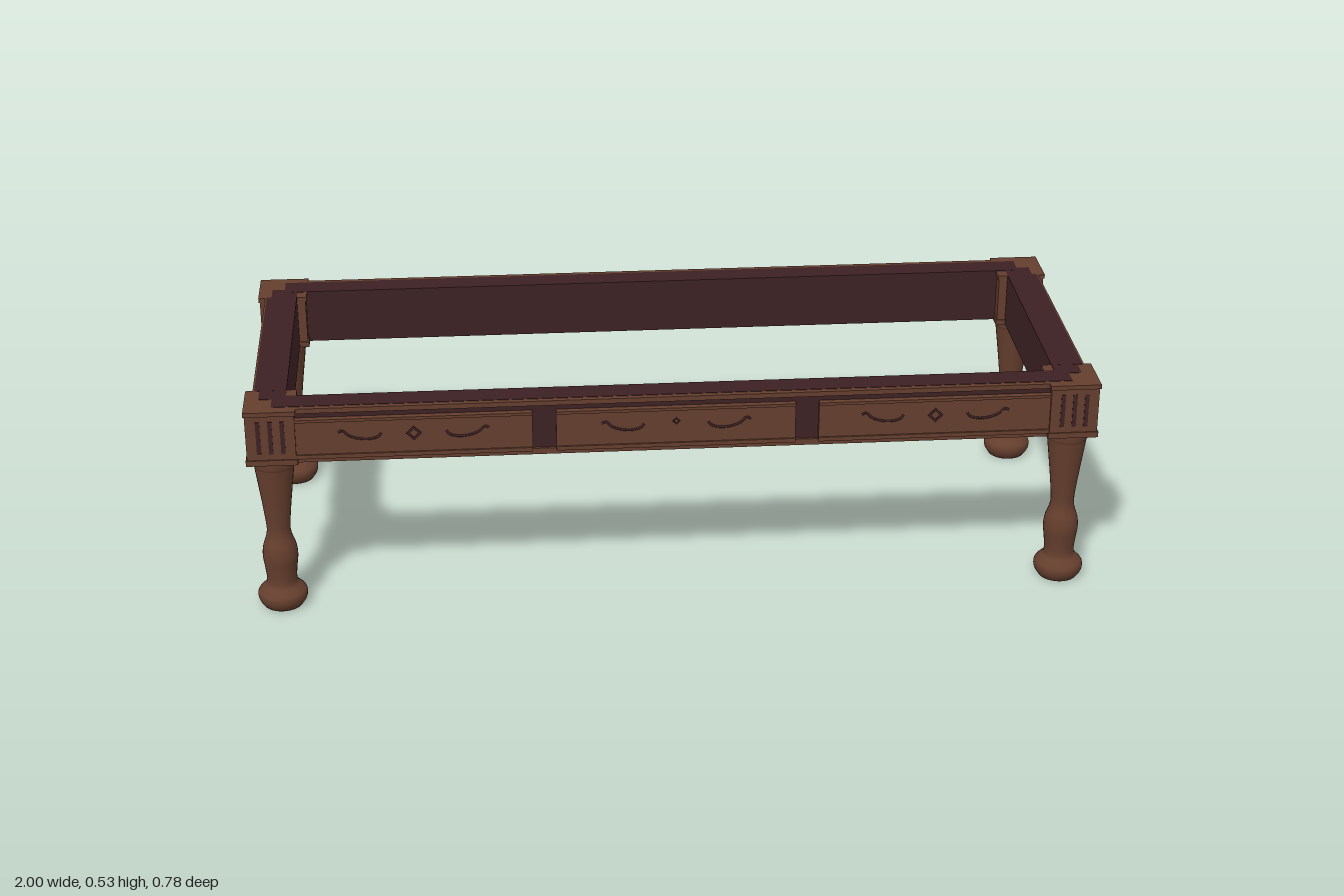
import * as THREE from 'three';

export function createModel() {
  const root = new THREE.Group();
  const brown = new THREE.MeshStandardMaterial({ color: 0x643e2d });
  brown.name = 'walnut brown';
  const dark = new THREE.MeshStandardMaterial({ color: 0x3d2124 });
  dark.name = 'dark mahogany';

  const add = (parent, name, geometry, material) => {
    const mesh = new THREE.Mesh(geometry, material);
    mesh.name = name;
    parent.add(mesh);
    return mesh;
  };
  // Box given by its limits on each axis
  const box = (parent, name, material, x0, x1, y0, y1, z0, z1) => {
    const mesh = add(parent, name, new THREE.BoxGeometry(x1 - x0, y1 - y0, z1 - z0), material);
    mesh.position.set((x0 + x1) / 2, (y0 + y1) / 2, (z0 + z1) / 2);
    return mesh;
  };

  // Turned leg profile: radius, height
  const profile = new THREE.SplineCurve([
    [0.048, 0.002], [0.056, 0.014], [0.059, 0.026], [0.057, 0.037], [0.046, 0.049],
    [0.038, 0.058], [0.036, 0.075], [0.039, 0.105], [0.042, 0.132], [0.039, 0.158],
    [0.031, 0.182], [0.028, 0.205], [0.032, 0.25], [0.038, 0.3], [0.045, 0.355], [0.047, 0.372],
  ].map(([r, y]) => new THREE.Vector2(r, y))).getPoints(48);
  const legGeometry = new THREE.LatheGeometry([
    new THREE.Vector2(0, 0), new THREE.Vector2(0.047, 0), ...profile,
    new THREE.Vector2(0.051, 0.378), new THREE.Vector2(0.051, 0.4),
  ], 32);

  // Legs with square corner blocks
  for (const sx of [-1, 1]) for (const sz of [-1, 1]) {
    const corner = new THREE.Group();
    corner.name = 'cornerPost';
    corner.position.set(sx * 0.94, 0, sz * 0.33);
    root.add(corner);
    add(corner, 'leg', legGeometry, brown);
    box(corner, 'cornerBlock', brown, -0.057, 0.057, 0.4, 0.525, -0.057, 0.057);
    box(corner, 'blockCap', brown, -0.06, 0.06, 0.522, 0.533, -0.06, 0.06);
    box(corner, 'blockBase', brown, -0.06, 0.06, 0.396, 0.41, -0.06, 0.06);
    // Flutes on the long-side face
    for (const x of [-0.028, 0, 0.028]) {
      const z = sz * 0.0575;
      box(corner, 'flute', dark, x - 0.005, x + 0.005, 0.425, 0.508, z - 0.001, z + 0.001);
    }
  }

  // Diamond ornament
  const diamond = new THREE.Shape();
  [[0, 0.018], [-0.018, 0], [0, -0.018], [0.018, 0]].forEach(([x, y], i) =>
    i ? diamond.lineTo(x, y) : diamond.moveTo(x, y));
  const hole = new THREE.Path();
  [[0, 0.011], [0.011, 0], [0, -0.011], [-0.011, 0]].forEach(([x, y], i) =>
    i ? hole.lineTo(x, y) : hole.moveTo(x, y));
  diamond.holes.push(hole);
  const diamondGeometry = new THREE.ExtrudeGeometry(diamond, { depth: 0.003, bevelEnabled: false });

  // Scrolling vine ornament, mirrored to either side of each panel
  const vineGeometry = (s) => new THREE.TubeGeometry(new THREE.CatmullRomCurve3([
    [0.075, 0.004], [0.082, -0.005], [0.1, -0.011], [0.125, -0.01],
    [0.15, -0.001], [0.165, 0.012], [0.174, 0.008],
  ].map(([x, y]) => new THREE.Vector3(s * x, y, 0))), 24, 0.003, 6);

  // Long sides, built facing +z and turned for the back
  for (const turn of [0, Math.PI]) {
    const side = new THREE.Group();
    side.name = 'longSide';
    side.rotation.y = turn;
    root.add(side);
    box(side, 'longRail', dark, -0.936, 0.936, 0.398, 0.534, 0.303, 0.363);
    box(side, 'railFace', dark, -0.885, 0.885, 0.4, 0.525, 0.36, 0.37);
    box(side, 'topMoulding', brown, -0.885, 0.885, 0.521, 0.533, 0.362, 0.376);
    box(side, 'bottomMoulding', brown, -0.885, 0.885, 0.396, 0.411, 0.362, 0.376);
    for (const [x0, x1] of [[-0.885, -0.335], [-0.28, 0.28], [0.335, 0.885]]) {
      const mid = (x0 + x1) / 2;
      box(side, 'carvedPanel', brown, x0, x1, 0.411, 0.508, 0.368, 0.381);
      box(side, 'panelLowerBead', brown, x0, x1, 0.408, 0.418, 0.368, 0.385);
      box(side, 'panelUpperBead', brown, x0, x1, 0.501, 0.508, 0.368, 0.385);
      const ornament = new THREE.Group();
      ornament.name = 'panelOrnament';
      ornament.position.set(mid, 0.465, 0.381);
      side.add(ornament);
      for (const s of [-1, 1]) add(ornament, 'vine', vineGeometry(s), dark);
      const motif = add(ornament, 'diamond', diamondGeometry, dark);
      if (mid === 0) {
        motif.scale.set(0.5, 0.5, 1);
        motif.position.y = 0.008;
      }
    }
  }

  // Short sides, built facing +x and turned for the other end
  for (const turn of [0, Math.PI]) {
    const end = new THREE.Group();
    end.name = 'shortSide';
    end.rotation.y = turn;
    root.add(end);
    box(end, 'shortRail', dark, 0.904, 0.979, 0.398, 0.534, -0.274, 0.274);
    box(end, 'railTenon', dark, 0.904, 0.967, 0.399, 0.5338, -0.32, 0.32);
    box(end, 'endPanel', brown, 0.97, 0.984, 0.418, 0.511, -0.263, 0.263);
    box(end, 'endTopMoulding', brown, 0.97, 0.983, 0.521, 0.533, -0.272, 0.272);
    box(end, 'endBottomMoulding', brown, 0.97, 0.983, 0.394, 0.406, -0.272, 0.272);
  }
  return root;
}
